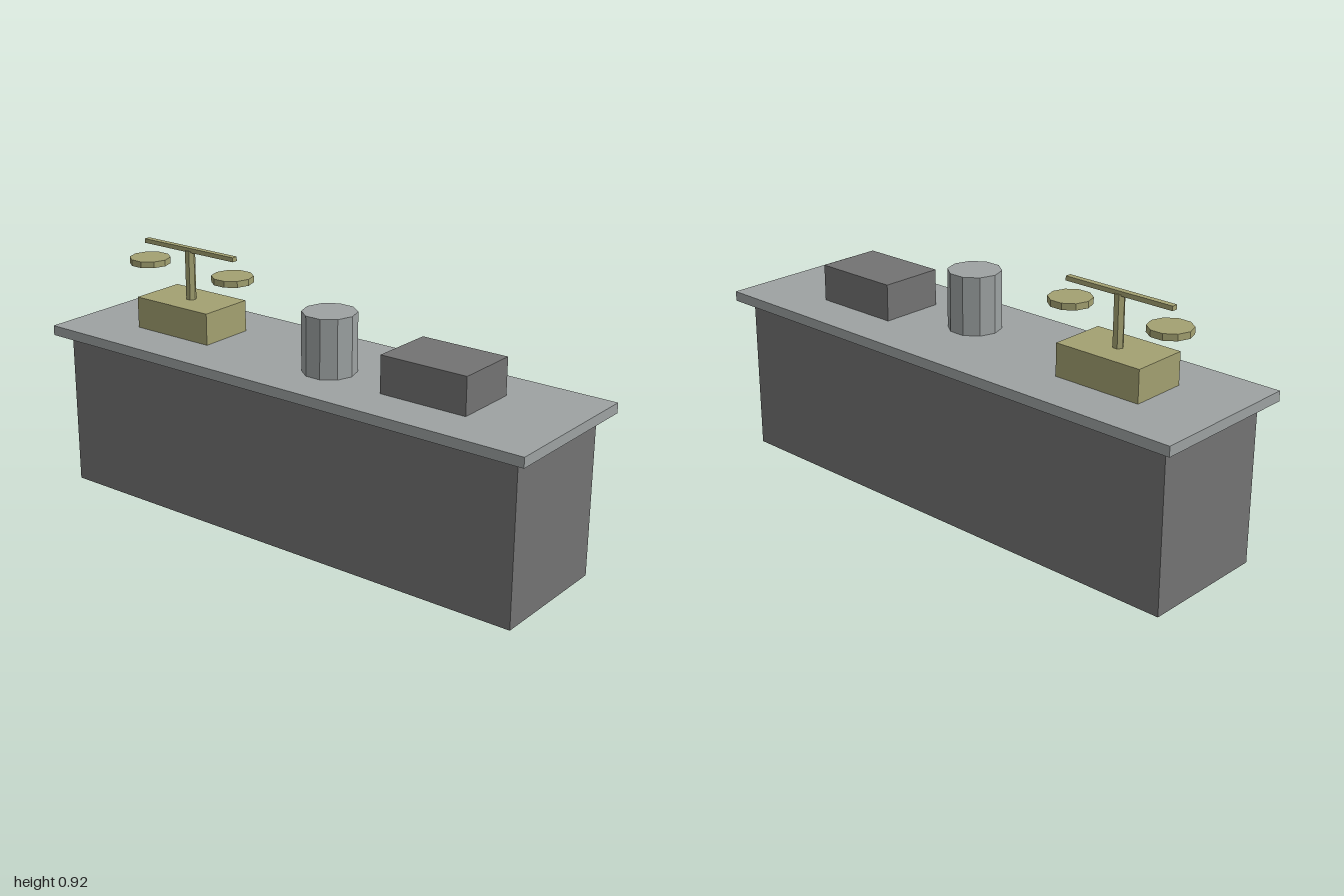
import * as THREE from 'three';

export function createModel() {
  const root = new THREE.Group();
  root.name = 'shopCounter';

  const material = (name, color) => {
    const m = new THREE.MeshStandardMaterial({ color });
    m.name = name;
    return m;
  };
  const darkGrey = material('darkGrey', 0x737373);
  const paleGrey = material('paleGrey', 0x9da2a2);
  const brass = material('brass', 0xa3a171);

  const add = (parent, name, geometry, mat, x, y, z) => {
    const mesh = new THREE.Mesh(geometry, mat);
    mesh.name = name;
    mesh.position.set(x, y, z);
    parent.add(mesh);
  };
  // Box standing on height y
  const box = (parent, name, mat, w, h, d, x, y, z = 0) =>
    add(parent, name, new THREE.BoxGeometry(w, h, d), mat, x, y + h / 2, z);
  // Faceted cylinder standing on height y, with corners on the x axis
  const prism = (parent, name, mat, r, h, sides, x, y, z = 0) => {
    const g = new THREE.CylinderGeometry(r, r, h, sides).rotateY(Math.PI / 2).toNonIndexed();
    g.computeVertexNormals();
    add(parent, name, g, mat, x, y + h / 2, z);
  };

  // Counter
  box(root, 'counterBody', darkGrey, 1.904, 0.574, 0.476, 0, 0);
  box(root, 'counterTop', paleGrey, 2, 0.036, 0.571, 0, 0.574);

  // Goods on the counter
  prism(root, 'canister', paleGrey, 0.095, 0.21, 10, 0.095, 0.61, 0.048);
  box(root, 'cashBox', darkGrey, 0.33, 0.133, 0.238, 0.522, 0.61);

  // Balance scale
  const scale = new THREE.Group();
  scale.name = 'balanceScale';
  scale.position.set(-0.575, 0.61, 0);
  root.add(scale);
  box(scale, 'scaleBase', brass, 0.334, 0.115, 0.21, 0, 0);
  prism(scale, 'scalePost', brass, 0.019, 0.18, 6, 0, 0.115);
  box(scale, 'scaleBeam', brass, 0.424, 0.016, 0.022, 0, 0.29);
  for (const side of [-1, 1]) {
    prism(scale, side < 0 ? 'rightPan' : 'leftPan', brass, 0.075, 0.023, 10, side * 0.2, 0.214);
  }

  return root;
}
